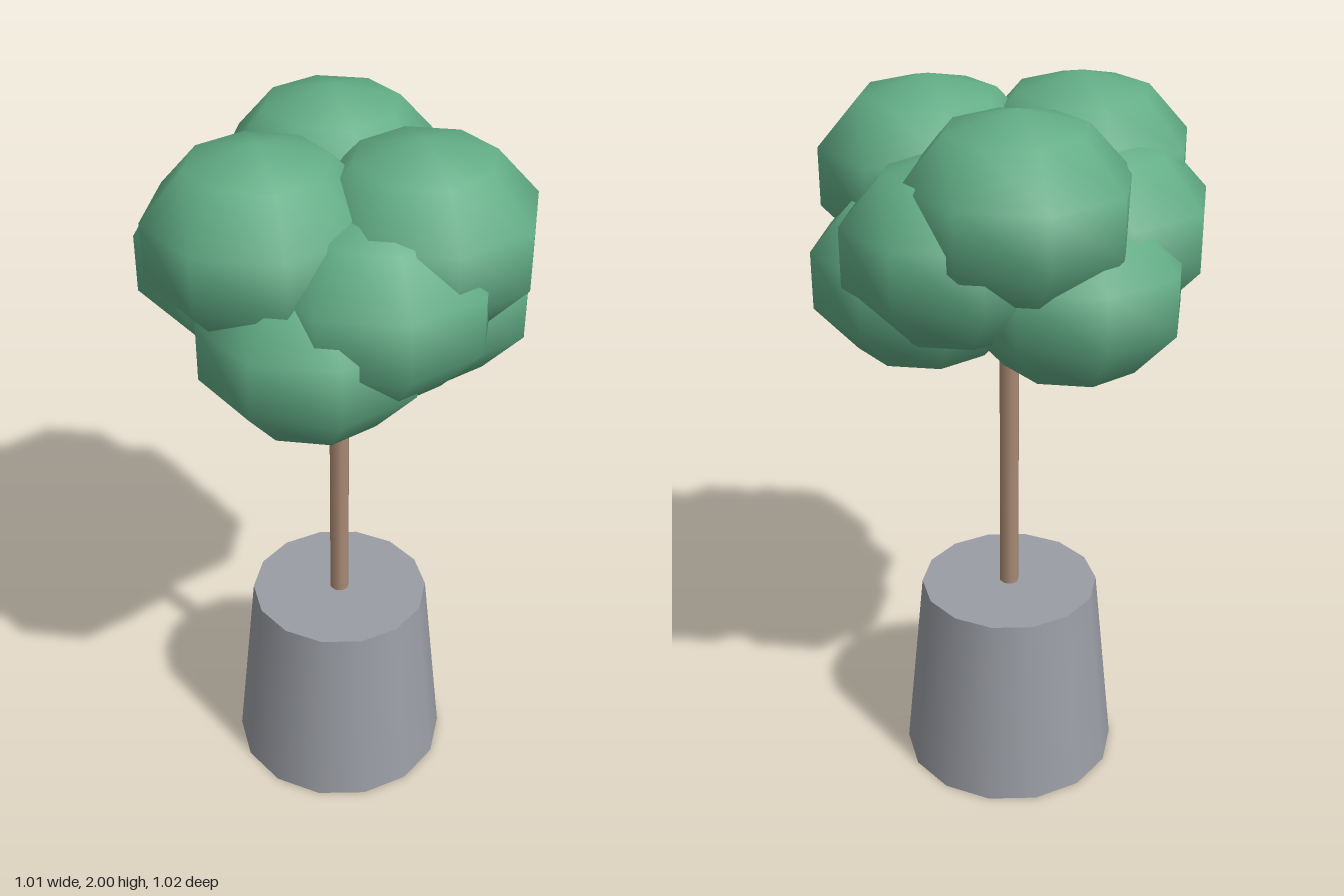
import * as THREE from 'three';

const material = (color) => new THREE.MeshStandardMaterial({ color });

export function createModel() {
  const model = new THREE.Group();
  model.name = 'pottedTree';
  const axisX = -0.008;

  const add = (parent, name, geometry, mat, x, y, z) => {
    const mesh = new THREE.Mesh(geometry, mat);
    mesh.name = name;
    mesh.position.set(x, y, z);
    parent.add(mesh);
    return mesh;
  };

  // Tapered pot, closed at the top and bottom
  add(model, 'pot', new THREE.CylinderGeometry(0.25, 0.306, 0.56, 14),
    material(0x9a9da4), axisX, 0.28, 0);

  // Thin trunk running up into the crown
  add(model, 'trunk', new THREE.CylinderGeometry(0.027, 0.027, 1.1, 8),
    material(0xa98a74), axisX, 1.1, 0);

  // Crown: three tiers of three flattened leaf balls, each tier turned by 40 degrees
  const crown = new THREE.Group();
  crown.name = 'crown';
  model.add(crown);
  const leaf = new THREE.SphereGeometry(0.302, 8, 5).scale(1, 0.81, 1);
  const green = material(0x62ad86);
  const tiers = [
    { name: 'lowerLeafBall', y: 1.535, turn: 0 },
    { name: 'middleLeafBall', y: 1.645, turn: -40 },
    { name: 'upperLeafBall', y: 1.755, turn: 40 },
  ];
  for (const { name, y, turn } of tiers) {
    for (let i = 0; i < 3; i++) {
      const a = THREE.MathUtils.degToRad(turn + i * 120);
      add(crown, name + (i + 1), leaf, green,
        axisX + 0.225 * Math.cos(a), y, 0.225 * Math.sin(a));
    }
  }

  return model;
}
